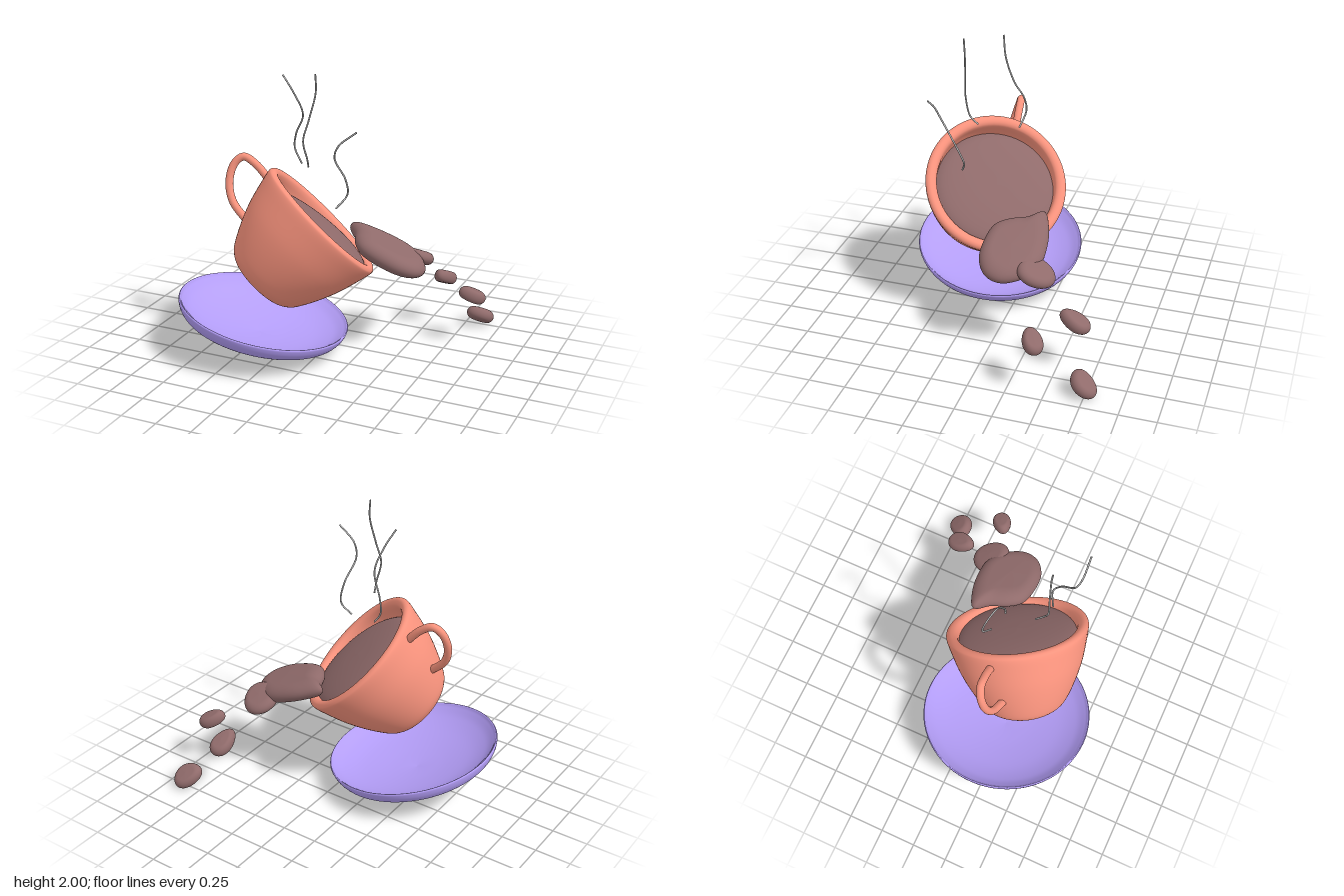
import * as THREE from 'three';

const V3 = (a) => new THREE.Vector3(...a);
const mat = (color) => new THREE.MeshStandardMaterial({ color, side: THREE.DoubleSide });
const pink = mat(0xfa947e);
const violet = mat(0xb49ef8);
const brown = mat(0x906b6b);
const pale = mat(0xcccccc);

function mesh(name, geometry, material) {
  const m = new THREE.Mesh(geometry, material);
  m.name = name;
  return m;
}

// Lathe a profile of [radius, height] points, smoothed by a spline
function turned(name, profile, material, divisions) {
  const curve = new THREE.SplineCurve(profile.map(([r, y]) => new THREE.Vector2(r, y)));
  const pts = curve.getPoints(divisions);
  pts.forEach((p) => { p.x = Math.max(0, p.x); });
  return mesh(name, new THREE.LatheGeometry(pts, 72), material);
}

// Tip a turned part so its axis follows the given direction
function tilt(object, axis, position) {
  object.quaternion.setFromUnitVectors(new THREE.Vector3(0, 1, 0), V3(axis).normalize());
  object.position.set(...position);
  return object;
}

function tube(name, points, radius, material, sides) {
  const path = new THREE.CatmullRomCurve3(points.map(V3));
  return mesh(name, new THREE.TubeGeometry(path, 64, radius, sides), material);
}

// Egg-shaped outline in x and z, narrower at its far end
function egg(a, b, turn, taper) {
  return Array.from({ length: 16 }, (_, i) => {
    const t = (i / 16) * Math.PI * 2;
    const x = a * Math.cos(t);
    const z = b * Math.sin(t) * (1 - taper * Math.cos(t));
    return [x * Math.cos(turn) - z * Math.sin(turn), x * Math.sin(turn) + z * Math.cos(turn)];
  });
}

// Rounded pillow over an outline, lying in a plane with slopes along x and z
function pillow(name, outline, centre, slopeX, slopeZ, half, edge) {
  const loop = new THREE.CatmullRomCurve3(outline.map(([x, z]) => new THREE.Vector3(x, 0, z)), true);
  const n = 56, rings = 20;
  const rim = loop.getPoints(n).slice(0, n);
  const up = new THREE.Vector3(-slopeX, 1, -slopeZ).normalize();
  const pos = [], index = [];
  for (let i = 0; i <= rings; i++) {
    // the first and last rings close the slightly domed faces
    const u = i / rings;
    const flat = i === 0 || i === rings;
    const a = Math.PI * (0.5 - (u - 1 / rings) / (1 - 2 / rings));
    const s = flat ? 0.001 : 1 - edge * (1 - Math.cos(a));
    const h = flat ? half * 1.06 * Math.sign(0.5 - u) : half * Math.sin(a);
    for (const p of rim) {
      const x = p.x * s, z = p.z * s;
      pos.push(x + up.x * h, slopeX * x + slopeZ * z + up.y * h, z + up.z * h);
    }
  }
  for (let i = 0; i < rings; i++) {
    for (let j = 0; j < n; j++) {
      const k = (j + 1) % n;
      const a = i * n + j, b = i * n + k, c = a + n, d = b + n;
      index.push(a, b, c, b, d, c);
    }
  }
  const g = new THREE.BufferGeometry();
  g.setAttribute('position', new THREE.Float32BufferAttribute(pos, 3));
  g.setIndex(index);
  g.computeVertexNormals();
  const m = mesh(name, g, brown);
  m.position.set(...centre);
  return m;
}

export function createModel() {
  const model = new THREE.Group();

  // Tipped cup: outer wall, thick rounded lip, inner wall
  const cup = turned('cup', [
    [0, -0.635], [0.1, -0.63], [0.2, -0.61], [0.265, -0.572], [0.31, -0.515], [0.374, -0.388],
    [0.428, -0.25], [0.468, -0.1], [0.485, -0.02], [0.479, 0.006], [0.455, 0.018], [0.425, 0.009],
    [0.409, -0.02], [0.4, -0.1], [0.365, -0.25], [0.31, -0.38], [0.2, -0.53], [0, -0.56],
  ], pink, 120);
  model.add(tilt(cup, [0.6, 0.7, -0.39], [-0.005, 0.96, 0.12]));

  // Domed coffee surface, closer to level than the lip
  const coffee = turned('coffee', [
    [0.425, -0.02], [0.37, 0.014], [0.28, 0.035], [0.15, 0.048], [0, 0.052],
  ], brown, 20);
  model.add(tilt(coffee, [0.53, 0.785, -0.345], [-0.03, 0.905, 0.135]));

  // Handle
  model.add(tube('handle', [
    [-0.39, 1.17, 0.11], [-0.5, 1.285, 0.115], [-0.585, 1.33, 0.125], [-0.642, 1.285, 0.15],
    [-0.665, 1.17, 0.19], [-0.625, 1.04, 0.225], [-0.5, 0.915, 0.25],
  ], 0.027, pink, 16));

  // Saucer: shallow cone underneath, rounded edge, smoothly dished top
  const saucer = turned('saucer', [
    [0, -0.203], [0.18, -0.177], [0.36, -0.147], [0.48, -0.122], [0.545, -0.093], [0.58, -0.052],
    [0.595, -0.013], [0.593, 0.001], [0.584, 0.001], [0.565, -0.02], [0.5, -0.066],
    [0.38, -0.112], [0.2, -0.147], [0, -0.165],
  ], violet, 100);
  model.add(tilt(saucer, [0.2, 0.975, -0.075], [-0.4, 0.277, 0.225]));

  // Spilling coffee
  const spill = [
    [-0.35, -0.13], [-0.24, -0.19], [-0.1, -0.22], [0.05, -0.215], [0.17, -0.14], [0.248, 0],
    [0.225, 0.11], [0.13, 0.18], [0, 0.195], [-0.15, 0.165], [-0.225, 0.08], [-0.28, -0.04],
  ];
  model.add(pillow('spill', spill, [0.4, 0.697, -0.11], -0.38, 0.11, 0.068, 0.42));
  model.add(pillow('spillTip', egg(0.13, 0.115, 0.6, 0.1), [0.515, 0.63, -0.313], -0.1, 0.47, 0.045, 0.42));

  // Falling drops: centre, half length, half width, turn, taper, slopes
  const drops = [
    [[0.622, 0.383, -0.612], 0.1, 0.073, 1.68, 0.2, 0, 0.5],
    [[0.895, 0.368, -0.405], 0.09, 0.066, -0.55, -0.15, -0.35, 0.3],
    [[0.858, 0.082, -0.735], 0.096, 0.077, 2.6, 0.15, -0.05, 0.68],
  ];
  drops.forEach(([c, a, b, turn, taper, sx, sz], i) =>
    model.add(pillow('drop' + (i + 1), egg(a, b, turn, taper), c, sx, sz, 0.043, 0.42)));

  // Wisps of steam
  const wisps = [
    [[-0.27, 1.93, 0.15], [-0.205, 1.8, 0.115], [-0.175, 1.65, 0.05], [-0.25, 1.5, 0],
      [-0.267, 1.4, -0.01], [-0.2, 1.3, 0.02]],
    [[0.042, 2, 0.32], [0.042, 1.88, 0.315], [0, 1.7, 0.33], [-0.035, 1.56, 0.343],
      [-0.022, 1.43, 0.31], [-0.038, 1.365, 0.26]],
    [[0.38, 1.69, 0.45], [0.26, 1.59, 0.45], [0.222, 1.5, 0.425], [0.25, 1.33, 0.315],
      [0.24, 1.21, 0.265], [0.175, 1.12, 0.3]],
  ];
  wisps.forEach((pts, i) => model.add(tube('steam' + (i + 1), pts, 0.006, pale, 8)));

  return model;
}
